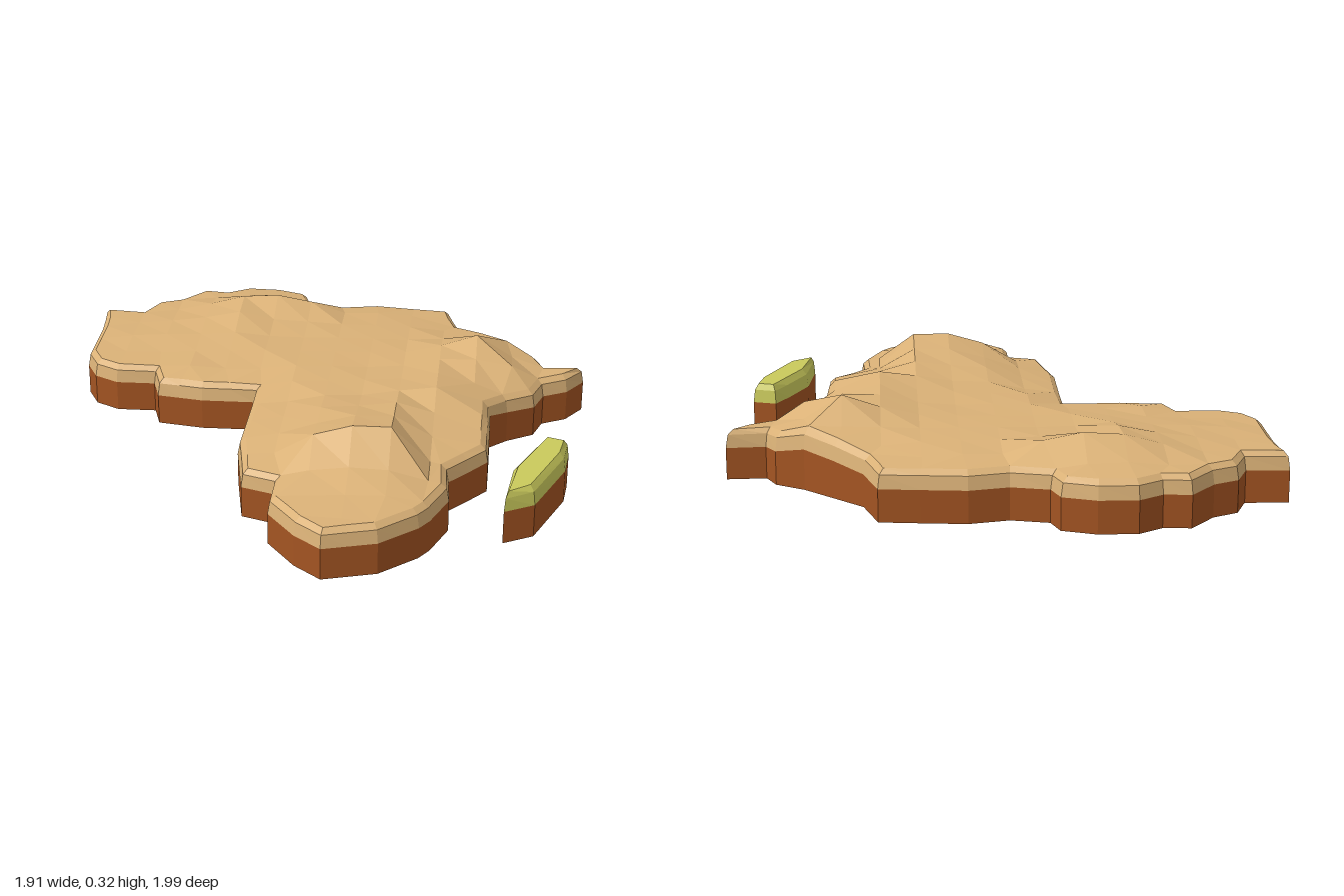
import * as THREE from 'three';

// Coastlines as [x, z], clockwise seen from above
const MAINLAND = [
  [-0.96, -0.73], [-0.81, -0.72], [-0.765, -0.82], [-0.675, -0.86], [-0.585, -0.96],
  [-0.49, -0.95], [-0.405, -1], [-0.27, -0.995], [-0.155, -0.95], [-0.13, -0.87],
  [0, -0.835], [0.14, -0.86], [0.295, -0.84], [0.435, -0.82], [0.48, -0.66],
  [0.68, -0.46], [0.78, -0.395], [0.815, -0.32], [0.955, -0.32], [0.89, -0.23],
  [0.8, -0.185], [0.765, -0.09], [0.665, -0.02], [0.6, 0.07], [0.6, 0.185],
  [0.595, 0.36], [0.46, 0.51], [0.465, 0.64], [0.405, 0.78], [0.37, 0.83],
  [0.24, 0.94], [0.055, 0.99], [-0.04, 0.91], [-0.14, 0.775], [-0.135, 0.64],
  [-0.25, 0.6], [-0.29, 0.36], [-0.275, -0.05], [-0.475, -0.05], [-0.645, -0.08],
  [-0.675, -0.18], [-0.82, -0.18], [-0.91, -0.23], [-0.955, -0.32], [-0.95, -0.55],
];
const ISLAND = [
  [0.795, 0.25], [0.88, 0.28], [0.865, 0.39], [0.755, 0.64],
  [0.65, 0.695], [0.675, 0.49], [0.745, 0.34],
];
// Inland spot heights as [x, z, y]
const PEAKS = [
  [0.135, 0.495, 0.325], [0.27, 0.495, 0.325], [0.2, 0.36, 0.31], [0.27, 0.2, 0.285],
  [0, 0.495, 0.285], [0, 0.3, 0.26], [0.15, 0.68, 0.23], [0.28, 0.68, 0.225], [0.1, 0.8, 0.2],
  [0.54, -0.315, 0.31], [0.62, -0.2, 0.29], [0.45, -0.1, 0.28], [0.45, 0.07, 0.29],
  [0.1, 0.05, 0.24], [0.15, -0.2, 0.225], [0.2, -0.5, 0.22], [0.35, -0.65, 0.215],
  [-0.27, -0.72, 0.275], [-0.405, -0.72, 0.265], [-0.135, -0.72, 0.25], [-0.405, -0.585, 0.255],
  [-0.2, -0.52, 0.21], [-0.27, -0.3, 0.22], [-0.6, -0.5, 0.215], [-0.8, -0.45, 0.2],
  [-0.1, -0.1, 0.23], [0.1, -0.72, 0.21], [-0.5, -0.2, 0.21],
];

const bump = (x, z, cx, cz, r) => Math.exp(-((x - cx) ** 2 + (z - cz) ** 2) / (r * r));
const eastCoast = (x, z) => bump(x, z, 0.6, 0.14, 0.14);
const hornCoast = (x, z) => bump(x, z, 0.64, -0.48, 0.13);

// Split long coast edges
function subdivide(poly, step) {
  return poly.flatMap((a, i) => {
    const b = poly[(i + 1) % poly.length];
    const n = Math.ceil(Math.hypot(b[0] - a[0], b[1] - a[1]) / step);
    return Array.from({ length: n }, (_, k) =>
      [a[0] + (b[0] - a[0]) * k / n, a[1] + (b[1] - a[1]) * k / n]);
  });
}

// Move every outline point inward along its averaged edge normal
function inset(poly, d) {
  return poly.map((p, i) => {
    const a = poly[(i + poly.length - 1) % poly.length], b = poly[(i + 1) % poly.length];
    const l1 = Math.hypot(p[0] - a[0], p[1] - a[1]), l2 = Math.hypot(b[0] - p[0], b[1] - p[1]);
    const nx = -(p[1] - a[1]) / l1 - (b[1] - p[1]) / l2;
    const nz = (p[0] - a[0]) / l1 + (b[0] - p[0]) / l2;
    const l = Math.hypot(nx, nz);
    return [p[0] + nx / l * d, p[1] + nz / l * d];
  });
}

function inside([x, z], poly) {
  let hit = false;
  poly.forEach((a, i) => {
    const b = poly[(i + 1) % poly.length];
    if ((a[1] > z) !== (b[1] > z) && x < a[0] + (b[0] - a[0]) * (z - a[1]) / (b[1] - a[1])) hit = !hit;
  });
  return hit;
}

function edgeDistance([x, z], poly) {
  return Math.min(...poly.map((a, i) => {
    const b = poly[(i + 1) % poly.length], dx = b[0] - a[0], dz = b[1] - a[1];
    const t = THREE.MathUtils.clamp(((x - a[0]) * dx + (z - a[1]) * dz) / (dx * dx + dz * dz), 0, 1);
    return Math.hypot(x - a[0] - dx * t, z - a[1] - dz * t);
  }));
}

// Delaunay triangulation by point insertion
function delaunay(points) {
  const n = points.length, pts = [...points, [-20, -20], [20, -20], [0, 30]];
  const circle = (a, b, c) => {
    const [ax, ay] = pts[a], bx = pts[b][0] - ax, by = pts[b][1] - ay;
    const cx = pts[c][0] - ax, cy = pts[c][1] - ay, d = 2 * (bx * cy - by * cx);
    const b2 = bx * bx + by * by, c2 = cx * cx + cy * cy;
    const x = (cy * b2 - by * c2) / d, y = (bx * c2 - cx * b2) / d;
    return { v: [a, b, c], x: ax + x, y: ay + y, r: x * x + y * y };
  };
  let tris = [circle(n, n + 1, n + 2)];
  for (let i = 0; i < n; i++) {
    const edges = new Map(), keep = [];
    for (const t of tris) {
      if ((pts[i][0] - t.x) ** 2 + (pts[i][1] - t.y) ** 2 >= t.r) { keep.push(t); continue; }
      t.v.forEach((a, k) => {
        const b = t.v[(k + 1) % 3];
        if (!edges.delete(b + '_' + a)) edges.set(a + '_' + b, [a, b]);
      });
    }
    tris = keep;
    for (const [a, b] of edges.values()) tris.push(circle(a, b, i));
  }
  return tris.map(t => t.v).filter(v => v.every(k => k < n));
}

function toMesh(name, corners, material) {
  const geometry = new THREE.BufferGeometry();
  geometry.setAttribute('position', new THREE.Float32BufferAttribute(corners.flat(), 3));
  geometry.computeVertexNormals();
  const mesh = new THREE.Mesh(geometry, material);
  mesh.name = name;
  return mesh;
}

// Strip of quads between two rings of [x, y, z]
function band(lower, upper) {
  return lower.flatMap((a, i) => {
    const j = (i + 1) % lower.length;
    return [a, upper[i], upper[j], a, upper[j], lower[j]];
  });
}

// Hollow landmass: brown cliff, sloping shoulder and faceted relief
function landmass(name, coast, o, cliffMaterial, landMaterial) {
  const ring = (poly, y) => poly.map(([x, z], i) => [x, y(...coast[i]), z]);
  const rimOutline = inset(coast, o.inset);
  const foot = ring(coast, o.foot), ledge = ring(coast, o.ledge);
  const shoulder = ring(inset(coast, o.inset * 0.3), o.shoulder), rim = ring(rimOutline, o.rim);

  // Inland grid, slightly sheared so every cell splits the same way
  const grid = [];
  for (let i = -7; i <= 7; i++) for (let k = -7; k <= 7; k++) {
    const z = -0.045 + k * 0.135, p = [i * 0.135 - 0.02 * z, z];
    if (inside(p, rimOutline) && edgeDistance(p, rimOutline) > 0.035) grid.push(p);
  }
  // Spot heights blended by inverse distance
  const spots = [...PEAKS, ...rim.map(([x, y, z]) => [x, z, y])];
  const height = (x, z) => {
    let sum = 0, total = 0;
    for (const [sx, sz, sy] of spots) {
      const w = 1 / (Math.hypot(x - sx, z - sz) ** 3 + 1e-5);
      sum += w * sy;
      total += w;
    }
    return sum / total;
  };
  const flat = [...rimOutline, ...grid];
  const solid = [...rim, ...grid.map(([x, z]) => [x, height(x, z), z])];
  const relief = delaunay(flat).flatMap(([a, b, c]) => {
    const [p, q, r] = [flat[a], flat[b], flat[c]];
    if (!inside([(p[0] + q[0] + r[0]) / 3, (p[1] + q[1] + r[1]) / 3], rimOutline)) return [];
    const turn = (q[0] - p[0]) * (r[1] - p[1]) - (q[1] - p[1]) * (r[0] - p[0]);
    return (turn > 0 ? [a, c, b] : [a, b, c]).map(k => solid[k]);
  });

  const group = new THREE.Group();
  group.name = name;
  group.add(
    toMesh(name + 'Cliff', band(foot, ledge), cliffMaterial),
    toMesh(name + 'Shoulder', [...band(ledge, shoulder), ...band(shoulder, rim)], landMaterial),
    toMesh(name + 'Relief', relief, landMaterial),
  );
  return group;
}

export function createModel() {
  const material = (name, color) => {
    const m = new THREE.MeshStandardMaterial({ color, flatShading: true, side: THREE.DoubleSide });
    m.name = name;
    return m;
  };
  const earth = material('earthBrown', 0xa35422);
  const sand = material('sand', 0xdab177);
  const grass = material('grassYellow', 0xcaca5c);

  const model = new THREE.Group();
  model.name = 'continentReliefMap';
  model.add(
    landmass('mainland', subdivide(MAINLAND, 0.16), {
      inset: 0.03,
      foot: (x, z) => 0.01 + 0.03 * eastCoast(x, z),
      ledge: (x, z) => 0.125 + 0.05 * eastCoast(x, z) + 0.035 * hornCoast(x, z),
      shoulder: (x, z) => 0.172 + 0.035 * eastCoast(x, z) + 0.04 * hornCoast(x, z),
      rim: (x, z) => 0.19 + 0.04 * eastCoast(x, z) + 0.05 * hornCoast(x, z),
    }, earth, sand),
    landmass('island', ISLAND, {
      inset: 0.024, foot: () => 0, ledge: () => 0.122, shoulder: () => 0.17, rim: () => 0.192,
    }, earth, grass),
  );
  return model;
}
